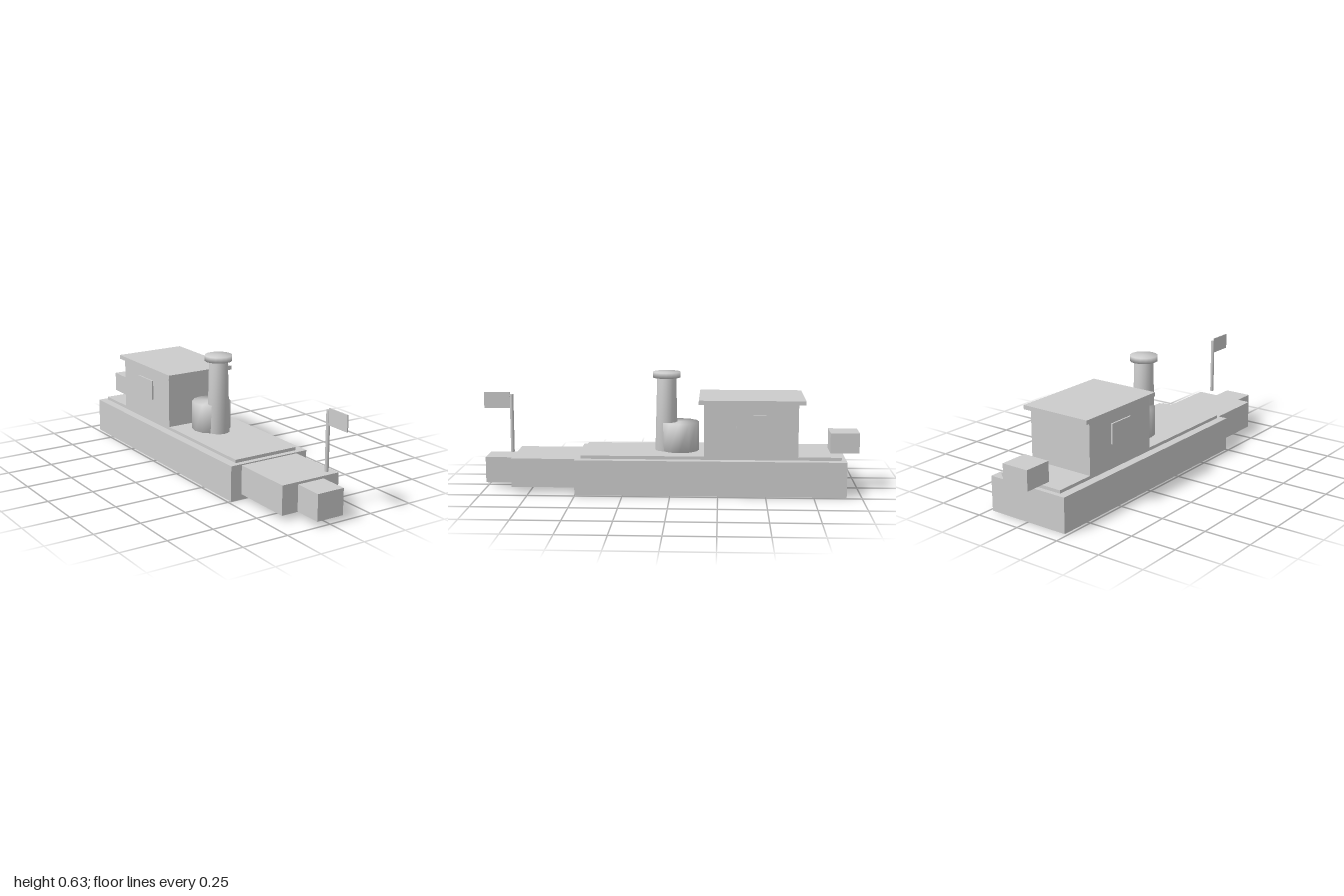
import * as THREE from 'three';
import { mergeVertices } from 'three/addons/utils/BufferGeometryUtils.js';

export function createModel() {
  const model = new THREE.Group();
  model.name = 'boat';
  const grey = new THREE.MeshStandardMaterial({ color: 0xcccccc });
  grey.name = 'plain grey';

  const add = (name, geometry) => {
    const mesh = new THREE.Mesh(geometry, grey);
    mesh.name = name;
    model.add(mesh);
    return mesh;
  };

  // Box given by its extents on each axis
  const box = (name, [x0, x1], [y0, y1], [z0, z1]) =>
    add(name, new THREE.BoxGeometry(x1 - x0, y1 - y0, z1 - z0))
      .position.set((x0 + x1) / 2, (y0 + y1) / 2, (z0 + z1) / 2);

  // Upright cylinder with normals smoothed over its rims
  const column = (name, rTop, rBottom, [y0, y1], x, z, sides) => {
    let g = new THREE.CylinderGeometry(rTop, rBottom, y1 - y0, sides);
    g.deleteAttribute('normal');
    g.deleteAttribute('uv');
    g = mergeVertices(g, 1e-4);
    g.computeVertexNormals();
    add(name, g).position.set(x, (y0 + y1) / 2, z);
  };

  // Hull, stepped bow and deck
  box('hull', [-0.233, 0.233], [0, 0.187], [-0.921, 0.502]);
  box('bow', [-0.17, 0.17], [0.027, 0.181], [0.502, 0.845]);
  box('bowTip', [-0.077, 0.077], [0.029, 0.168], [0.845, 1]);
  box('deck', [-0.187, 0.187], [0.187, 0.204], [-0.895, 0.472]);
  box('sternBox', [-0.077, 0.077], [0.205, 0.313], [-1, -0.846]);

  // Cabin
  box('cabin', [-0.187, 0.187], [0.204, 0.48], [-0.669, -0.177]);
  box('cabinRoof', [-0.201, 0.201], [0.48, 0.502], [-0.705, -0.149]);
  for (const s of [-1, 1]) {
    const xs = [s * 0.187, s * 0.196].sort((a, b) => a - b);
    box(s > 0 ? 'leftWindow' : 'rightWindow', xs, [0.319, 0.427], [-0.5, -0.347]);
  }

  // Boiler and funnel
  column('boiler', 0.104, 0.104, [0.204, 0.358], 0, -0.044, 12);
  column('funnel', 0.051, 0.061, [0.204, 0.598], 0, 0.027, 16);
  column('funnelCap', 0.074, 0.074, [0.597, 0.627], 0, 0.027, 16);

  // Flag on its pole
  column('flagPole', 0.01, 0.01, [0.203, 0.513], 0.092, 0.848, 8);
  box('flag', [0.089, 0.095], [0.439, 0.525], [0.857, 0.995]);

  return model;
}
